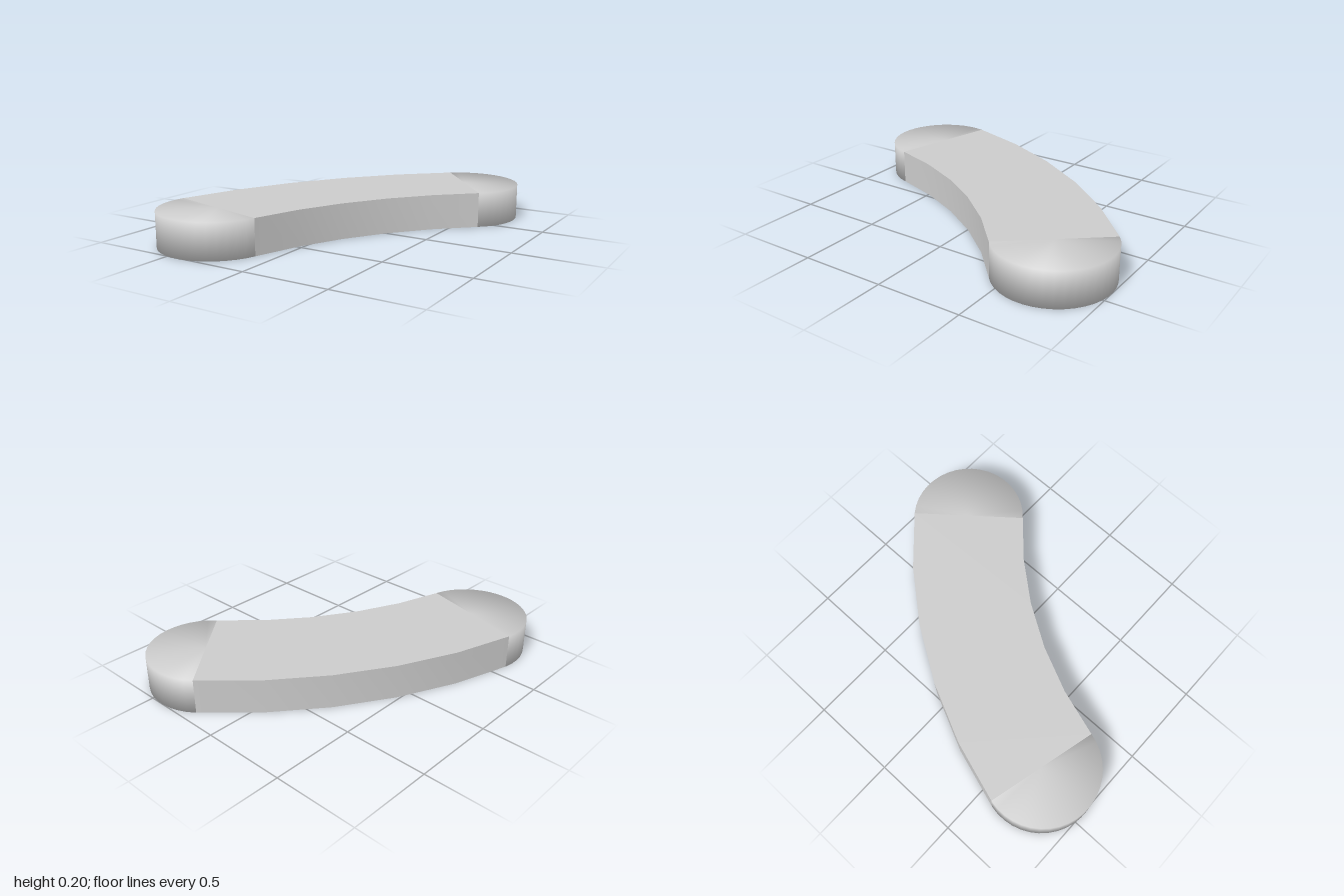
import * as THREE from 'three';
import { mergeVertices, toCreasedNormals } from 'three/addons/utils/BufferGeometryUtils.js';

const HEIGHT = 0.205;
const HALF_WIDTH = 0.33;
const RADIUS = 2.55; // centre line of the bend
const CENTRE = { x: 2.045, z: 1.297 };
const START = THREE.MathUtils.degToRad(14);
const END = THREE.MathUtils.degToRad(50.5);
const SEGMENTS = 5;

// Point on the bend, at radius r and angle a around its centre
const bendPoint = (r, a) => ({
  x: CENTRE.x - r * Math.cos(a),
  z: CENTRE.z - r * Math.sin(a),
});

export function createModel() {
  const group = new THREE.Group();
  group.name = 'curvedBar';
  const material = new THREE.MeshStandardMaterial({ color: 0xcccccc });

  // Bent middle section with crisp top and bottom edges
  const outer = [];
  const inner = [];
  for (let i = 0; i <= SEGMENTS; i++) {
    const a = THREE.MathUtils.lerp(START, END, i / SEGMENTS);
    const o = bendPoint(RADIUS + HALF_WIDTH, a);
    const n = bendPoint(RADIUS - HALF_WIDTH, a);
    outer.push(new THREE.Vector2(o.x, -o.z));
    inner.unshift(new THREE.Vector2(n.x, -n.z));
  }
  const barGeometry = new THREE.ExtrudeGeometry(new THREE.Shape([...outer, ...inner]), {
    depth: HEIGHT,
    bevelEnabled: false,
  });
  barGeometry.rotateX(-Math.PI / 2);
  const bar = new THREE.Mesh(toCreasedNormals(barGeometry, Math.PI / 6), material);
  bar.name = 'bar';
  group.add(bar);

  // Half-round ends, softly shaded from wall to top and bottom
  const capGeometry = new THREE.CylinderGeometry(HALF_WIDTH, HALF_WIDTH, HEIGHT, 20, 1, false, 0, Math.PI);
  capGeometry.deleteAttribute('normal');
  capGeometry.deleteAttribute('uv');
  const softCap = mergeVertices(capGeometry);
  softCap.computeVertexNormals();

  const addEnd = (name, a, turn) => {
    const p = bendPoint(RADIUS, a);
    const end = new THREE.Mesh(softCap, material);
    end.name = name;
    end.position.set(p.x, HEIGHT / 2, p.z);
    end.rotation.y = turn;
    group.add(end);
  };
  addEnd('frontEnd', START, -Math.PI / 2 - START);
  addEnd('backEnd', END, Math.PI / 2 - END);

  return group;
}
